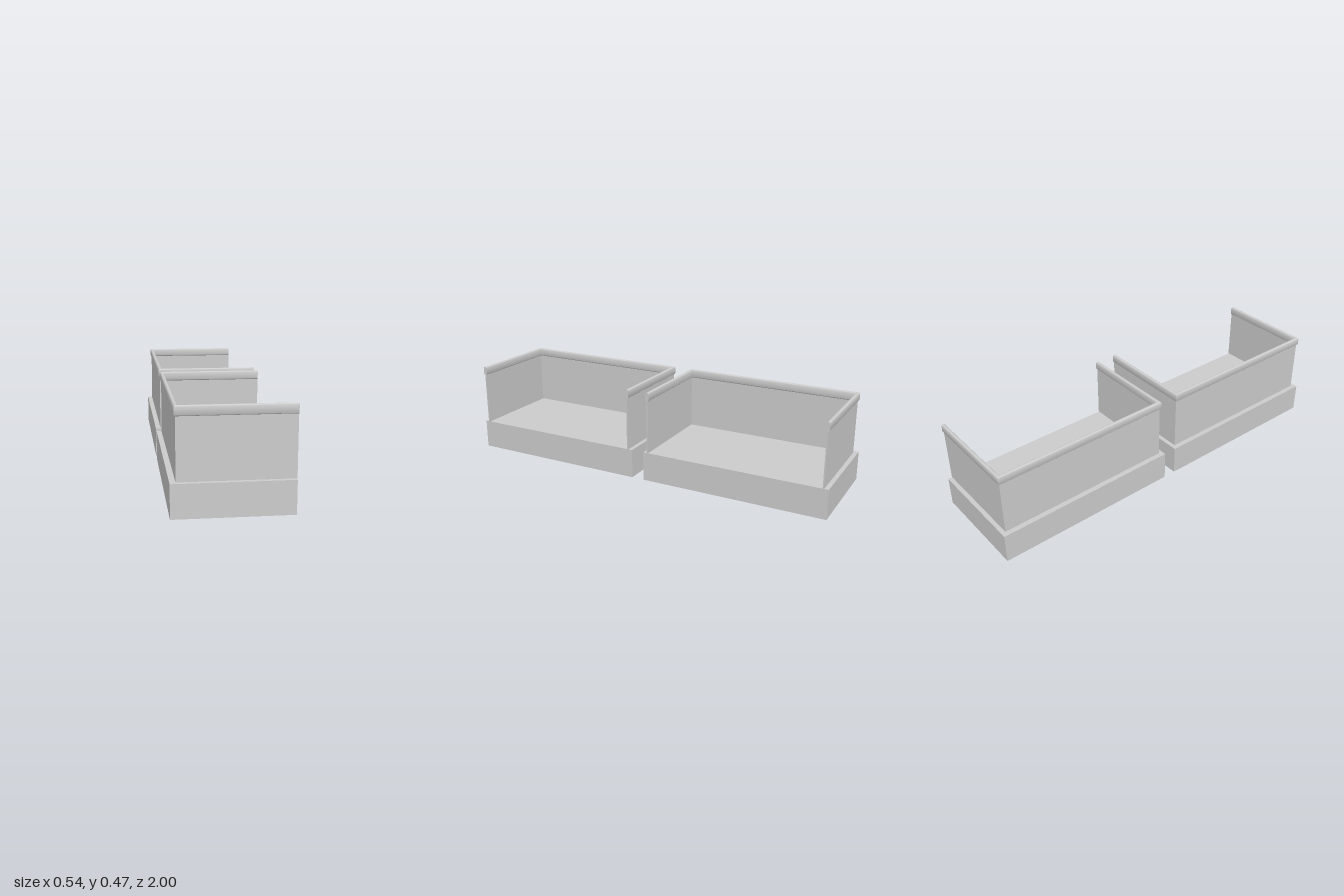
import * as THREE from 'three';
import { toCreasedNormals } from 'three/addons/utils/BufferGeometryUtils.js';

const material = new THREE.MeshStandardMaterial({ color: 0xcccccc, side: THREE.DoubleSide });

const OPEN_X = 0.268;   // open ends of the three-sided surround
const BACK_X = -0.239;  // centre line of the long panel
const HALF_Z = 0.4585;  // centre line of the two short panels

// Sweep a convex, counter-clockwise [outward, up] profile round the U with mitred corners.
function sweepU(profile) {
  const path = [
    [OPEN_X, HALF_Z, 0, 1],
    [BACK_X, HALF_Z, -1, 1],
    [BACK_X, -HALF_Z, -1, -1],
    [OPEN_X, -HALF_Z, 0, -1],
  ];
  const rings = path.map(([x, z, ox, oz]) =>
    profile.map(([u, v]) => [x + ox * u, v, z + oz * u]));
  const n = profile.length;
  const pos = [];
  const tri = (a, b, c) => pos.push(...a, ...b, ...c);
  for (let i = 0; i < rings.length - 1; i++) {
    const a = rings[i], b = rings[i + 1];
    for (let j = 0; j < n; j++) {
      const k = (j + 1) % n;
      tri(a[j], a[k], b[k]);
      tri(a[j], b[k], b[j]);
    }
  }
  // End caps
  const first = rings[0], last = rings[rings.length - 1];
  for (let j = 1; j < n - 1; j++) {
    tri(first[0], first[j + 1], first[j]);
    tri(last[0], last[j], last[j + 1]);
  }
  const geometry = new THREE.BufferGeometry();
  geometry.setAttribute('position', new THREE.Float32BufferAttribute(pos, 3));
  return toCreasedNormals(geometry, 0.6);
}

// Upright capsule outline of the handrail
function railProfile(radius, bottom, top, steps) {
  const points = [];
  for (const [start, y] of [[0, top - radius], [Math.PI, bottom + radius]]) {
    for (let i = 0; i <= steps; i++) {
      const a = start + (Math.PI * i) / steps;
      points.push([radius * Math.cos(a), y + radius * Math.sin(a)]);
    }
  }
  return points;
}

function addMesh(parent, name, geometry) {
  const mesh = new THREE.Mesh(geometry, material);
  mesh.name = name;
  parent.add(mesh);
  return mesh;
}

export function createModel() {
  const model = new THREE.Group();
  model.name = 'pairedBalconies';

  const slab = new THREE.BoxGeometry(0.532, 0.152, 0.967);
  const wall = sweepU([[-0.003, 0.151], [0.003, 0.151], [0.003, 0.44], [-0.003, 0.44]]);
  const rail = sweepU(railProfile(0.0095, 0.428, 0.474, 10));

  for (const side of [1, -1]) {
    const balcony = new THREE.Group();
    balcony.name = side > 0 ? 'frontBalcony' : 'backBalcony';
    balcony.position.z = side * 0.5165;
    addMesh(balcony, 'floorSlab', slab).position.set(-0.002, 0.076, 0);
    addMesh(balcony, 'wallPanels', wall);
    addMesh(balcony, 'handrail', rail);
    model.add(balcony);
  }
  return model;
}
